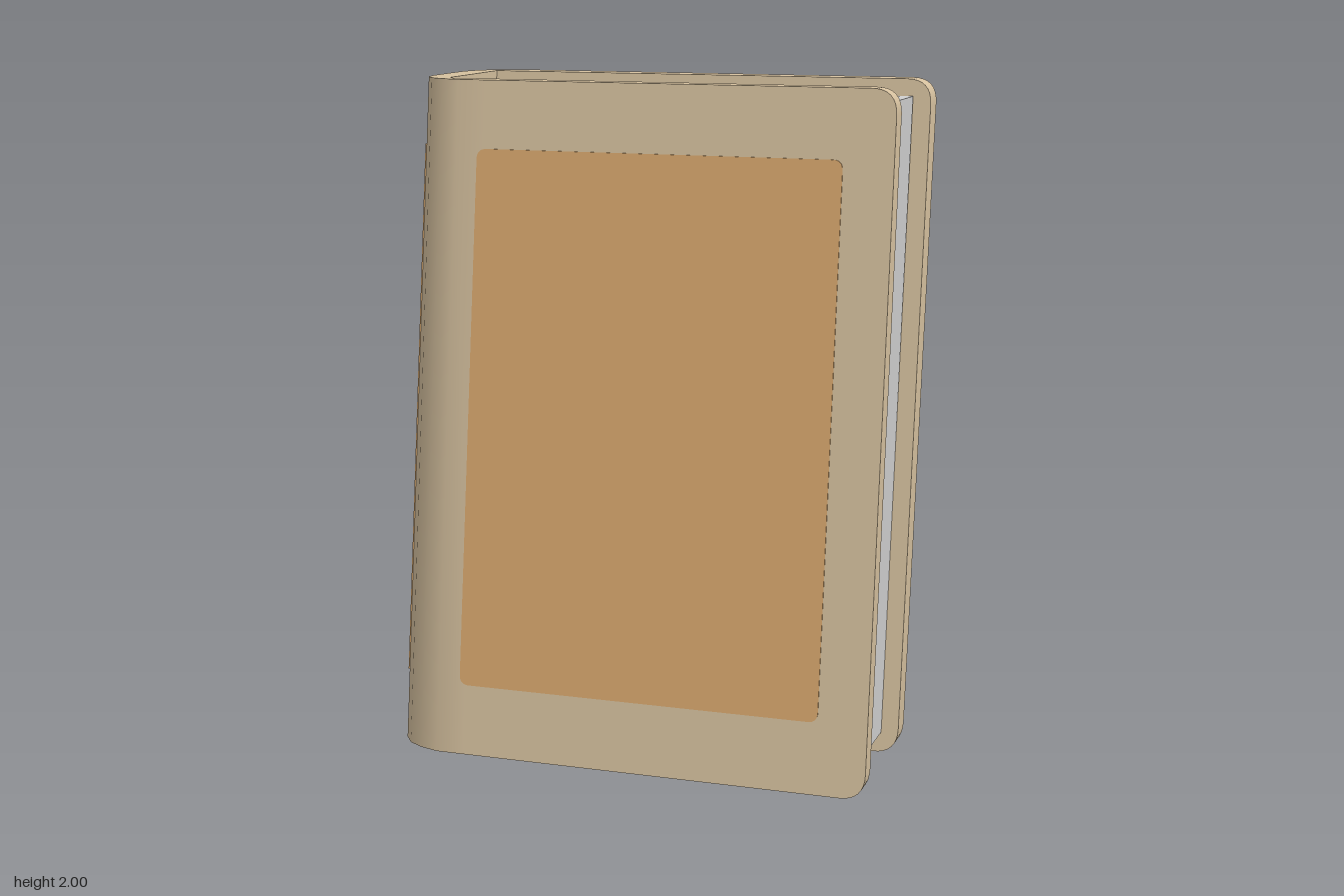
import * as THREE from 'three';
import { toCreasedNormals } from 'three/addons/utils/BufferGeometryUtils.js';

const mat = (name, color) => {
  const m = new THREE.MeshStandardMaterial({ color });
  m.name = name;
  return m;
};

// Lean the upright book backwards: z of -0.25..0.25 maps to the sloping back and front faces
function lean(geo) {
  const p = geo.attributes.position;
  for (let i = 0; i < p.count; i++) {
    const y = p.getY(i);
    const front = 0.39 - 0.125 * y;
    const back = -0.1 - 0.145 * y;
    p.setZ(i, back + (p.getZ(i) + 0.25) / 0.5 * (front - back));
  }
  return toCreasedNormals(geo, 0.6);
}

// Rectangle with separate corner radii on the spine side and the open side
function plate(x0, x1, y0, y1, rSpine, rOpen, z0, z1) {
  const s = new THREE.Shape();
  s.moveTo(x0 + rSpine, y0);
  s.lineTo(x1 - rOpen, y0);
  s.quadraticCurveTo(x1, y0, x1, y0 + rOpen);
  s.lineTo(x1, y1 - rOpen);
  s.quadraticCurveTo(x1, y1, x1 - rOpen, y1);
  s.lineTo(x0 + rSpine, y1);
  if (rSpine) s.quadraticCurveTo(x0, y1, x0, y1 - rSpine);
  s.lineTo(x0, y0 + rSpine);
  if (rSpine) s.quadraticCurveTo(x0, y0, x0 + rSpine, y0);
  const g = new THREE.ExtrudeGeometry(s, { depth: z1 - z0, bevelEnabled: false, curveSegments: 8 });
  return lean(g.translate(0, 0, z0));
}

// Extrude an [x, z] section upwards from y0 to y1
function column(points, y0, y1) {
  const s = new THREE.Shape(points.map(([x, z]) => new THREE.Vector2(x, -z)));
  const g = new THREE.ExtrudeGeometry(s, { depth: y1 - y0, bevelEnabled: false });
  return lean(g.rotateX(-Math.PI / 2).translate(0, y0, 0));
}

export function createModel() {
  const cover = mat('tan cover', 0xd6c19f);
  const panel = mat('orange panel', 0xd8a86e);
  const paper = mat('grey paper', 0xd0d0d0);
  const book = new THREE.Group();
  book.name = 'book';
  const add = (name, geo, material) => {
    const m = new THREE.Mesh(geo, material);
    m.name = name;
    book.add(m);
  };

  // Cover boards, rounded at the open corners
  add('frontBoard', plate(-0.5, 0.737, 0, 2, 0, 0.075, 0.19, 0.25), cover);
  add('backBoard', plate(-0.5, 0.737, 0, 2, 0, 0.075, -0.25, -0.175), cover);

  // Spine: rounded outside, square inside
  const curve = [[-0.5, 0.25], [-0.589, 0.25], [-0.648, 0.23], [-0.696, 0.2], [-0.727, 0.155], [-0.738, 0.1]];
  const mirrored = curve.map(([x, z]) => [x, -z]).reverse();
  const inside = [[-0.5, -0.175], [-0.65, -0.175], [-0.65, 0.19], [-0.5, 0.19]];
  add('spine', column([...curve, ...mirrored, ...inside], 0, 2), cover);

  // Page block, with a slight gap at the back that opens towards the top
  const pages = new THREE.BoxGeometry(1.335, 1.89, 0.365).translate(0.0175, 1.005, 0.0075);
  const p = pages.attributes.position;
  for (let i = 0; i < p.count; i++) {
    if (p.getZ(i) < 0 && p.getY(i) > 1) p.setZ(i, -0.165);
  }
  add('pages', lean(pages), paper);

  // Coloured panels on both boards and round the spine
  add('frontPanel', plate(-0.52, 0.59, 0.21, 1.8, 0.03, 0.03, 0.248, 0.253), panel);
  add('backPanel', plate(-0.52, 0.59, 0.21, 1.8, 0.03, 0.03, -0.253, -0.248), panel);
  const wrap = [[-0.73, 0.157], [-0.741, 0.1], [-0.741, -0.1], [-0.73, -0.157]];
  const under = [[-0.725, -0.155], [-0.735, -0.1], [-0.735, 0.1], [-0.725, 0.155]];
  add('spinePanel', column([...wrap, ...under], 0.21, 1.8), panel);

  return book;
}
